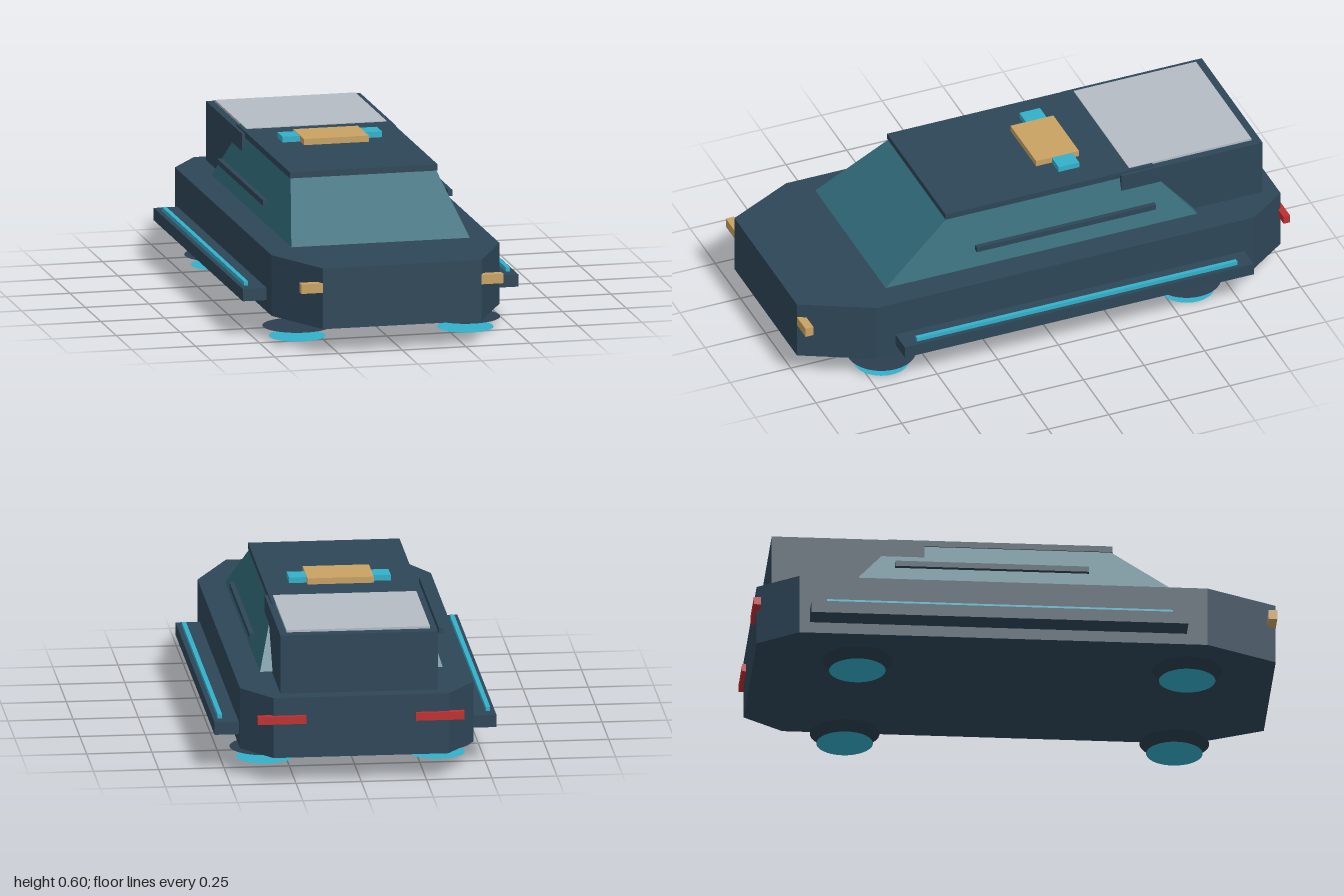
import * as THREE from 'three';

const mat = (name, color) => {
  const m = new THREE.MeshStandardMaterial({ color });
  m.name = name;
  return m;
};

export function createModel() {
  const group = new THREE.Group();
  const hullMat = mat('slate hull', 0x2e4658);
  const glassMat = mat('teal glass', 0x2f6977);
  const cyanMat = mat('cyan glow', 0x33b1cb);
  const tanMat = mat('amber lamp', 0xc9a263);
  const redMat = mat('red lamp', 0xc03030);
  const panelMat = mat('pale grey panel', 0xb5bcc4);
  const padMat = mat('dark pad', 0x2b3f50);
  padMat.side = THREE.DoubleSide;
  const glowDiscMat = mat('cyan disc', 0x33b1cb);
  glowDiscMat.side = THREE.DoubleSide;

  const add = (name, geometry, material) => {
    const mesh = new THREE.Mesh(geometry, material);
    mesh.name = name;
    group.add(mesh);
    return mesh;
  };
  // Box given by its limits on each axis
  const box = (name, material, [x0, x1], [y0, y1], [z0, z1]) => {
    const g = new THREE.BoxGeometry(x1 - x0, y1 - y0, z1 - z0);
    g.translate((x0 + x1) / 2, (y0 + y1) / 2, (z0 + z1) / 2);
    return add(name, g, material);
  };
  // Same box on both sides of the vehicle
  const pair = (name, material, [x0, x1], y, z) => {
    box(name + 'Left', material, [x0, x1], y, z);
    box(name + 'Right', material, [-x1, -x0], y, z);
  };

  // Hull: chamfered plan outline, extruded upwards
  const half = [[0.31, 1], [0.447, 0.73], [0.447, -0.83], [0.335, -0.985]];
  const outline = [...half, ...half.map(([x, z]) => [-x, z]).reverse()];
  const plan = new THREE.Shape(outline.map(([x, z]) => new THREE.Vector2(x, -z)));
  const hull = new THREE.ExtrudeGeometry(plan, { depth: 0.237, bevelEnabled: false });
  hull.rotateX(-Math.PI / 2);
  hull.translate(0, 0.098, 0);
  add('hull', hull, hullMat);

  // Glass cabin: a box whose top is drawn in on all sides
  const cabin = new THREE.BoxGeometry(1, 1, 1);
  const p = cabin.attributes.position;
  for (let i = 0; i < p.count; i++) {
    const top = p.getY(i) > 0;
    const x = Math.sign(p.getX(i)) * (top ? 0.285 : 0.35);
    const z = p.getZ(i) > 0 ? (top ? 0.37 : 0.65) : (top ? -0.46 : -0.635);
    p.setXYZ(i, x, top ? 0.551 : 0.343, z);
  }
  cabin.computeVertexNormals();
  add('cabinGlass', cabin, glassMat);

  // Roof, rear housing and its top panel
  box('roof', hullMat, [-0.29, 0.29], [0.549, 0.573], [-0.48, 0.378]);
  box('rearHousing', hullMat, [-0.302, 0.302], [0.335, 0.565], [-0.925, -0.342]);
  box('rearPanel', panelMat, [-0.275, 0.275], [0.567, 0.576], [-0.89, -0.385]);

  // Roof lamp cluster
  box('roofLamp', tanMat, [-0.127, 0.127], [0.573, 0.597], [-0.24, -0.063]);
  box('roofBeacon', cyanMat, [-0.195, 0.195], [0.573, 0.595], [-0.213, -0.128]);

  // Side rails, skirts and glow strips
  pair('sideRail', hullMat, [0.354, 0.372], [0.425, 0.447], [-0.457, 0.283]);
  pair('skirt', hullMat, [0.44, 0.54], [0.142, 0.19], [-0.79, 0.65]);
  pair('glowStrip', cyanMat, [0.505, 0.522], [0.19, 0.206], [-0.73, 0.592]);

  // Headlights and tail lights
  pair('headlight', tanMat, [0.311, 0.396], [0.24, 0.277], [0.967, 1]);
  pair('tailLight', redMat, [0.21, 0.396], [0.234, 0.265], [-1, -0.973]);

  // Hover pads: a dark disc with a smaller glowing disc below it
  for (const x of [-0.33, 0.33]) {
    for (const z of [0.66, -0.6]) {
      const disc = (name, r, y, material) => {
        const g = new THREE.CircleGeometry(r, 32);
        g.rotateX(Math.PI / 2);
        g.translate(x, y, z);
        add(name, g, material);
      };
      disc('hoverPad', 0.133, 0.04, padMat);
      disc('hoverGlow', 0.108, 0, glowDiscMat);
    }
  }
  return group;
}
